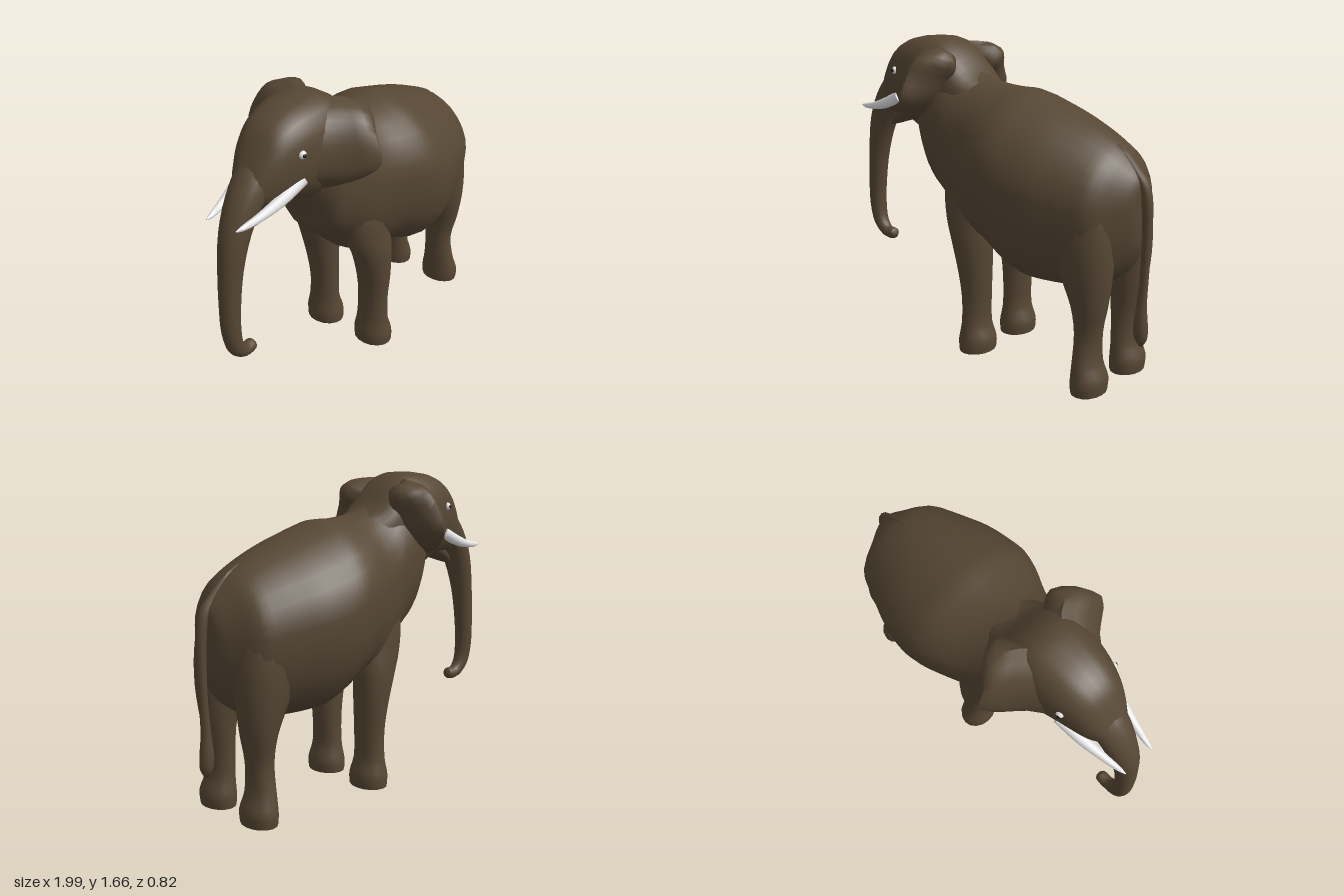
import * as THREE from 'three';
import { toCreasedNormals } from 'three/addons/utils/BufferGeometryUtils.js';

const V = (x, y, z) => new THREE.Vector3(x, y, z);

// Closed skin through a row of rings, smoothed lengthwise, with capped ends.
function loft(rings, steps = 3) {
  const n = rings[0].length;
  const rows = (rings.length - 1) * steps + 1;
  const pos = [], idx = [];
  const lines = rings[0].map((_, j) =>
    new THREE.CatmullRomCurve3(rings.map((r) => r[j])));
  for (let i = 0; i < rows; i++)
    for (let j = 0; j < n; j++) pos.push(...lines[j].getPoint(i / (rows - 1)).toArray());
  for (let i = 0; i < rows - 1; i++)
    for (let j = 0; j < n; j++) {
      const a = i * n + j, b = i * n + (j + 1) % n;
      idx.push(a, b, a + n, b, b + n, a + n);
    }
  [0, rows - 1].forEach((row, end) => {
    const c = V(0, 0, 0), k = pos.length / 3;
    for (let j = 0; j < n; j++) c.add(V().fromArray(pos, (row * n + j) * 3));
    pos.push(...c.divideScalar(n).toArray());
    for (let j = 0; j < n; j++) {
      const a = row * n + j, b = row * n + (j + 1) % n;
      idx.push(...(end ? [a, b, k] : [b, a, k]));
    }
  });
  // Turn the faces outward if the enclosed volume comes out negative.
  let volume = 0;
  const p = (i) => V().fromArray(pos, idx[i] * 3);
  for (let i = 0; i < idx.length; i += 3) volume += p(i).dot(p(i + 1).cross(p(i + 2)));
  if (volume < 0) idx.reverse();
  const g = new THREE.BufferGeometry();
  g.setAttribute('position', new THREE.Float32BufferAttribute(pos, 3));
  g.setIndex(idx);
  return toCreasedNormals(g, 1.0);
}

// Upright sections [x, top, bottom, halfWidth]; mid is the height share of the
// widest point, upper and lower are the roundness exponents above and below it.
function ovals(sections, mid, upper, lower, n = 28) {
  const bend = (v, power) => Math.sign(v) * Math.abs(v) ** (2 / power);
  return loft(sections.map(([x, top, bot, w]) => {
    const cy = bot + (top - bot) * mid;
    return Array.from({ length: n }, (_, j) => {
      const a = (j / n) * Math.PI * 2, c = Math.cos(a);
      const power = c > 0 ? upper : lower;
      return V(x, cy + bend(c, power) * (c > 0 ? top - cy : cy - bot), bend(Math.sin(a), power) * w);
    });
  }));
}

// Round limb along a path: [x, y, z, radius, sideRadius]
function limb(path, side = 1, n = 16) {
  const pts = path.map(([x, y, z]) => V(x, y, z * side));
  return loft(path.map(([, , , r, rz = r], i) => {
    const t = pts[Math.min(i + 1, pts.length - 1)].clone().sub(pts[Math.max(i - 1, 0)]);
    // Feet stay level on the ground
    if (path[i][1] === 0) t.set(0, 1, 0);
    const up = V(-t.y, t.x, 0).normalize();
    return Array.from({ length: n }, (_, j) => {
      const a = (j / n) * Math.PI * 2;
      return pts[i].clone().addScaledVector(up, Math.cos(a) * r)
        .add(V(0, 0, Math.sin(a) * rz));
    });
  }));
}

export function createModel() {
  const model = new THREE.Group();
  const paint = (name, color) => {
    const m = new THREE.MeshStandardMaterial({ color });
    m.name = name;
    return m;
  };
  const hide = paint('brown hide', 0x564734);
  const ivory = paint('ivory', 0xe6e6e6);
  const dark = paint('dark pupil', 0x1c1612);
  const add = (name, geometry, material = hide) => {
    const m = new THREE.Mesh(geometry, material);
    m.name = name;
    model.add(m);
    return m;
  };

  add('body', ovals([
    [-0.5, 1.44, 1.17, 0.07], [-0.45, 1.5, 1.115, 0.14], [-0.38, 1.54, 0.99, 0.2],
    [-0.32, 1.56, 0.85, 0.225], [-0.2, 1.54, 0.75, 0.25], [-0.1, 1.485, 0.64, 0.275],
    [0, 1.45, 0.6, 0.31], [0.13, 1.435, 0.59, 0.37], [0.25, 1.435, 0.53, 0.405],
    [0.36, 1.405, 0.48, 0.41], [0.5, 1.36, 0.475, 0.39], [0.62, 1.315, 0.485, 0.35],
    [0.72, 1.27, 0.5, 0.315], [0.81, 1.215, 0.55, 0.275], [0.88, 1.145, 0.63, 0.17],
    [0.93, 1.08, 0.73, 0.09], [0.943, 1.03, 0.8, 0.04],
  ], 0.58, 1.8, 2.3));

  add('head', ovals([
    [-0.81, 1.35, 1.26, 0.065], [-0.72, 1.5, 1.19, 0.125], [-0.65, 1.585, 1.18, 0.155],
    [-0.55, 1.635, 1.17, 0.185], [-0.42, 1.655, 1.12, 0.21], [-0.3, 1.65, 1.13, 0.21],
    [-0.2, 1.59, 1.16, 0.2], [-0.1, 1.485, 1.18, 0.18], [0.02, 1.42, 1.2, 0.12],
  ], 0.5, 2.6, 2.2));

  add('trunk', limb([
    [-0.63, 1.43, 0, 0.07, 0.08], [-0.71, 1.365, 0, 0.085, 0.1], [-0.8, 1.265, 0, 0.084, 0.092],
    [-0.873, 1.13, 0, 0.078, 0.076], [-0.92, 0.95, 0, 0.062], [-0.944, 0.75, 0, 0.053],
    [-0.948, 0.6, 0, 0.049], [-0.925, 0.49, 0, 0.043], [-0.87, 0.435, 0, 0.036],
    [-0.81, 0.432, 0, 0.032], [-0.797, 0.435, 0, 0.018],
  ]));

  add('lowerLip', limb([
    [-0.48, 1.25, 0, 0.09, 0.12], [-0.6, 1.22, 0, 0.055, 0.1],
    [-0.68, 1.185, 0, 0.042, 0.075], [-0.74, 1.15, 0, 0.027, 0.05],
    [-0.795, 1.115, 0, 0.007, 0.018],
  ]));

  // Tail with its root running along the rump and a tuft at the end
  add('tail', limb([
    [0.62, 1.302, 0, 0.012], [0.8, 1.205, 0, 0.02], [0.895, 1.108, 0, 0.025],
    [0.942, 1.05, 0, 0.028], [0.962, 0.97, 0, 0.028], [0.969, 0.85, 0, 0.025],
    [0.965, 0.6, 0, 0.022], [0.957, 0.45, 0, 0.026], [0.957, 0.33, 0, 0.036],
    [0.962, 0.27, 0, 0.03], [0.965, 0.235, 0, 0.008],
  ], 1, 10));

  // Ear slices from the lower front to the top: root, cheek, rim, back rim, back root
  const earSlices = [
    [-0.54, 1.23, 0.08, -0.46, 1.225, 0.14, -0.4, 1.22, 0.2, -0.38, 1.22, 0.17, -0.36, 1.24, 0.1],
    [-0.56, 1.32, 0.13, -0.43, 1.3, 0.235, -0.33, 1.28, 0.33, -0.29, 1.28, 0.28, -0.28, 1.3, 0.14],
    [-0.55, 1.42, 0.14, -0.4, 1.38, 0.27, -0.28, 1.36, 0.41, -0.23, 1.36, 0.32, -0.23, 1.37, 0.16],
    [-0.52, 1.52, 0.12, -0.38, 1.5, 0.25, -0.27, 1.48, 0.37, -0.18, 1.45, 0.245, -0.19, 1.44, 0.15],
    [-0.44, 1.59, 0.09, -0.33, 1.585, 0.21, -0.24, 1.57, 0.31, -0.12, 1.545, 0.2, -0.16, 1.49, 0.13],
    [-0.35, 1.62, 0.04, -0.26, 1.625, 0.13, -0.2, 1.61, 0.21, -0.15, 1.595, 0.17, -0.2, 1.55, 0.08],
  ];

  for (const s of [1, -1]) {
    add('ear', loft(earSlices.map((slice) => {
      const ring = [0, 3, 6, 9, 12].map((k) => V(slice[k], slice[k + 1], slice[k + 2] * s));
      return new THREE.CatmullRomCurve3(ring, true).getPoints(15).slice(0, 15);
    })));

    add('frontLeg', limb([
      [0.031, 0, 0.17, 0.09, 0.112], [0.031, 0.06, 0.17, 0.094, 0.113],
      [0.025, 0.15, 0.17, 0.072, 0.095], [0.025, 0.3, 0.17, 0.075, 0.088],
      [0.02, 0.45, 0.175, 0.09, 0.096], [0, 0.62, 0.175, 0.118, 0.105],
      [-0.03, 0.75, 0.165, 0.14, 0.105], [-0.045, 0.9, 0.155, 0.14, 0.105],
      [-0.04, 1.05, 0.13, 0.1, 0.09],
    ], s));

    add('hindLeg', limb([
      [0.78, 0, 0.17, 0.082, 0.11], [0.78, 0.06, 0.17, 0.086, 0.113],
      [0.765, 0.15, 0.168, 0.068, 0.095], [0.76, 0.3, 0.158, 0.067, 0.08],
      [0.767, 0.45, 0.165, 0.09, 0.1], [0.745, 0.62, 0.168, 0.135, 0.125],
      [0.715, 0.8, 0.168, 0.16, 0.135], [0.69, 0.98, 0.16, 0.15, 0.12],
      [0.67, 1.1, 0.13, 0.09, 0.09],
    ], s));

    add('tusk', limb([
      [-0.562, 1.322, 0.152, 0.033], [-0.7, 1.265, 0.133, 0.03], [-0.82, 1.232, 0.112, 0.022],
      [-0.92, 1.218, 0.094, 0.013], [-0.957, 1.218, 0.088, 0.003],
    ], s, 12), ivory);

    add('eye', new THREE.SphereGeometry(0.021, 16, 12), ivory).position.set(-0.575, 1.465, 0.17 * s);
    add('pupil', new THREE.SphereGeometry(0.012, 16, 12), dark).position.set(-0.578, 1.465, 0.182 * s);
  }
  return model;
}
